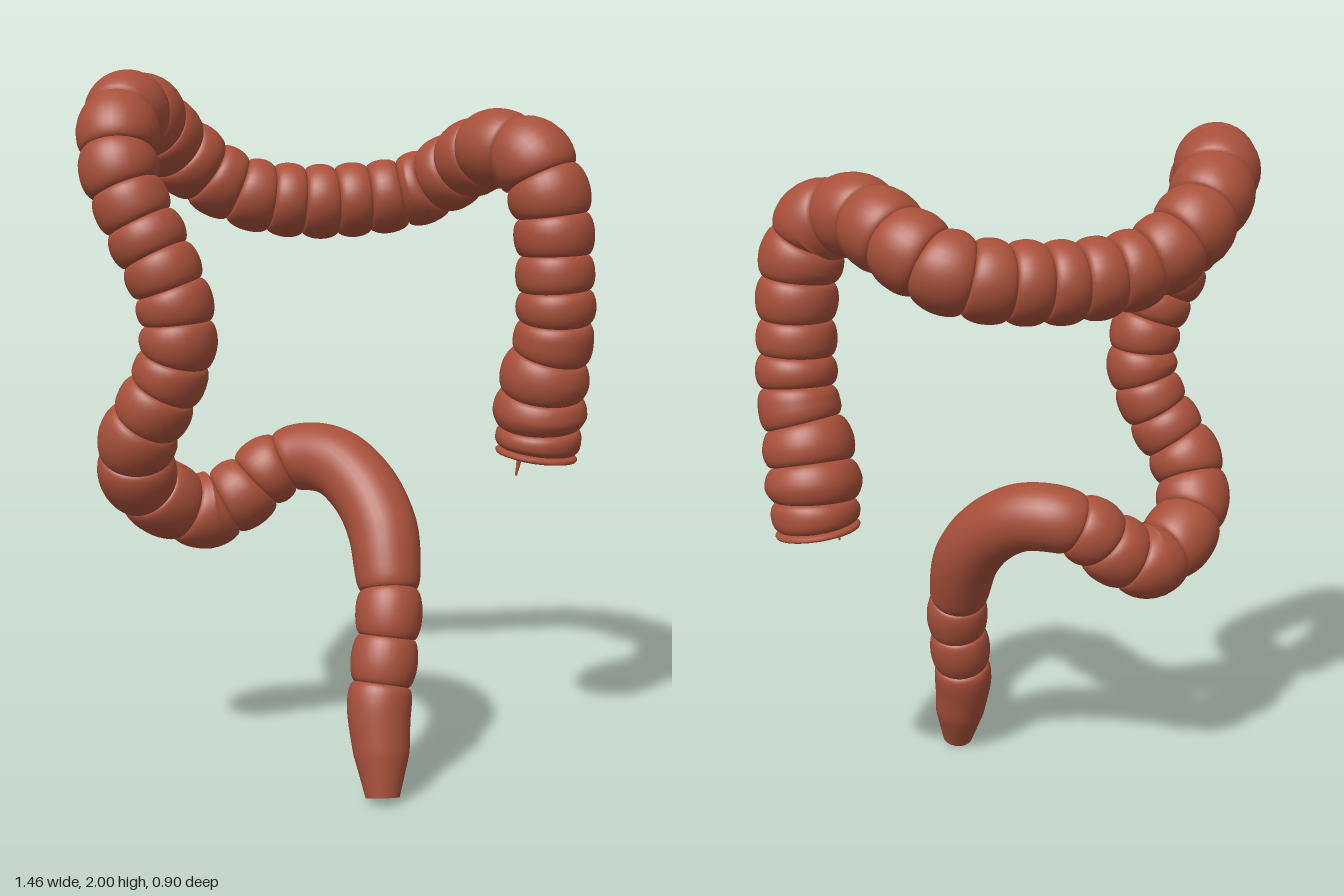
import * as THREE from 'three';

// Lobe centres and radii [x, y, z, r], in order along the bowel
const ascending = [
  [0.58, 0.885, 0.04, 0.12], [0.585, 0.94, 0.045, 0.125], [0.585, 1.03, 0.06, 0.138], [0.59, 1.14, 0.09, 0.13],
  [0.605, 1.25, 0.12, 0.115], [0.605, 1.34, 0.135, 0.115], [0.6, 1.43, 0.14, 0.113],
  [0.595, 1.54, 0.14, 0.115], [0.58, 1.65, 0.135, 0.118], [0.54, 1.75, 0.1, 0.118],
];
const transverse = [
  [0.465, 1.785, -0.02, 0.115], [0.425, 1.76, -0.14, 0.115], [0.375, 1.715, -0.24, 0.114],
  [0.3, 1.67, -0.31, 0.113], [0.2, 1.645, -0.335, 0.112], [0.1, 1.635, -0.34, 0.113],
  [0, 1.63, -0.34, 0.113], [-0.1, 1.635, -0.34, 0.112], [-0.2, 1.65, -0.335, 0.11],
  [-0.3, 1.69, -0.33, 0.11], [-0.39, 1.75, -0.305, 0.115], [-0.475, 1.82, -0.24, 0.118],
  [-0.54, 1.875, -0.14, 0.122], [-0.59, 1.88, -0.03, 0.118],
];
const descending = [
  [-0.62, 1.82, 0.07, 0.115], [-0.62, 1.72, 0.125, 0.11], [-0.59, 1.63, 0.15, 0.105],
  [-0.55, 1.54, 0.165, 0.108], [-0.51, 1.45, 0.18, 0.107], [-0.48, 1.36, 0.185, 0.107],
  [-0.472, 1.26, 0.185, 0.108], [-0.495, 1.165, 0.165, 0.105], [-0.535, 1.08, 0.14, 0.108],
  [-0.58, 0.985, 0.095, 0.112],
];
const sigmoid = [
  [-0.58, 0.875, 0.03, 0.112], [-0.5, 0.785, -0.05, 0.112], [-0.375, 0.737, -0.098, 0.114],
  [-0.27, 0.785, -0.1, 0.108], [-0.19, 0.85, -0.098, 0.104],
];
const rectum = [
  [-0.1, 0.89, -0.08, 0.1], [-0.01, 0.885, -0.01, 0.1], [0.06, 0.82, 0.08, 0.1],
  [0.1, 0.72, 0.16, 0.1], [0.105, 0.615, 0.215, 0.095],
];
const lowerRectum = [[0.1, 0.5, 0.265, 0.094], [0.08, 0.37, 0.3, 0.094]];
const analCanal = [[0.06, 0.25, 0.335, 0.09], [0.06, 0.13, 0.37, 0.078], [0.057, 0.016, 0.406, 0.047]];

const sections = [
  ['ascendingColon', ascending], ['transverseColon', transverse], ['descendingColon', descending],
  ['sigmoidColon', sigmoid], ['rectum', rectum, true], ['lowerRectum', lowerRectum],
  ['analCanal', analCanal, true],
];
const SIDES = 32, CREASE = 0.8;

export function createModel() {
  const model = new THREE.Group();
  const tissue = new THREE.MeshStandardMaterial({ color: 0xa8503a });
  tissue.name = 'tissue red';

  const nodes = sections.flatMap((s) => s[1]);
  const last = nodes.length - 1;
  const path = new THREE.CatmullRomCurve3(nodes.map((n) => new THREE.Vector3(n[0], n[1], n[2])));
  const radiusAt = (u) => {
    const i = Math.min(Math.floor(u), last - 1);
    return THREE.MathUtils.lerp(nodes[i][3], nodes[i + 1][3], u - i);
  };

  // Ring frame carried along the path so the skin does not twist
  const normal = new THREE.Vector3(0, 0, 1);

  // One bulge between two creases; u counts nodes along the path
  function lobe(u0, u1, power) {
    const steps = Math.ceil((u1 - u0) * 14);
    const positions = [], index = [];
    const ring = (u, r) => {
      const p = path.getPoint(u / last), t = path.getTangent(u / last);
      normal.addScaledVector(t, -normal.dot(t)).normalize();
      const side = new THREE.Vector3().crossVectors(t, normal);
      for (let j = 0; j < SIDES; j++) {
        const a = (j / SIDES) * Math.PI * 2;
        const v = p.clone().addScaledVector(normal, r * Math.cos(a)).addScaledVector(side, r * Math.sin(a));
        positions.push(v.x, v.y, v.z);
      }
    };
    for (let i = 0; i <= steps; i++) {
      // Rings gather near the creases, where the bulge curves most
      const s = -Math.cos((i / steps) * Math.PI);
      const u = u0 + (u1 - u0) * (s + 1) / 2;
      const crease = u0 === 0 && s < 0 ? 0.02 : u1 === last && s > 0 ? 1 : CREASE;
      const bulge = Math.sqrt(Math.max(0, 1 - Math.pow(Math.abs(s), power)));
      ring(u, radiusAt(u) * (crease + (1 - crease) * bulge));
      if (i === 0) continue;
      for (let j = 0; j < SIDES; j++) {
        const a = (i - 1) * SIDES + j, b = (i - 1) * SIDES + (j + 1) % SIDES;
        index.push(a, b, a + SIDES, b, b + SIDES, a + SIDES);
      }
    }
    const geometry = new THREE.BufferGeometry();
    geometry.setAttribute('position', new THREE.Float32BufferAttribute(positions, 3));
    geometry.setIndex(index);
    geometry.computeVertexNormals();
    return new THREE.Mesh(geometry, tissue);
  }

  // Sections: one long smooth lobe, or one lobe per node
  let start = 0;
  for (const [name, points, smooth] of sections) {
    const group = new THREE.Group();
    group.name = name;
    const end = start + points.length;
    const span = smooth ? points.length : 1;
    for (let i = start; i < end; i += span) {
      const mesh = lobe(Math.max(0, i - 0.5), Math.min(last, i + span - 0.5), smooth ? 8 : 2);
      mesh.name = name + 'Lobe';
      group.add(mesh);
    }
    model.add(group);
    start = end;
  }

  // Flat closure at the lower end
  const closure = new THREE.Mesh(new THREE.CircleGeometry(nodes[last][3], SIDES), tissue);
  closure.name = 'lowerEnd';
  closure.position.copy(path.getPoint(1));
  closure.quaternion.setFromUnitVectors(new THREE.Vector3(0, 0, 1), path.getTangent(1));
  model.add(closure);

  // Thin appendix hanging below the first lobe
  const appendix = new THREE.Mesh(new THREE.CylinderGeometry(0.013, 0.003, 0.11, 10), tissue);
  appendix.name = 'appendix';
  appendix.position.set(0.52, 0.9, 0.085);
  appendix.rotation.z = -0.2;
  model.add(appendix);
  return model;
}
